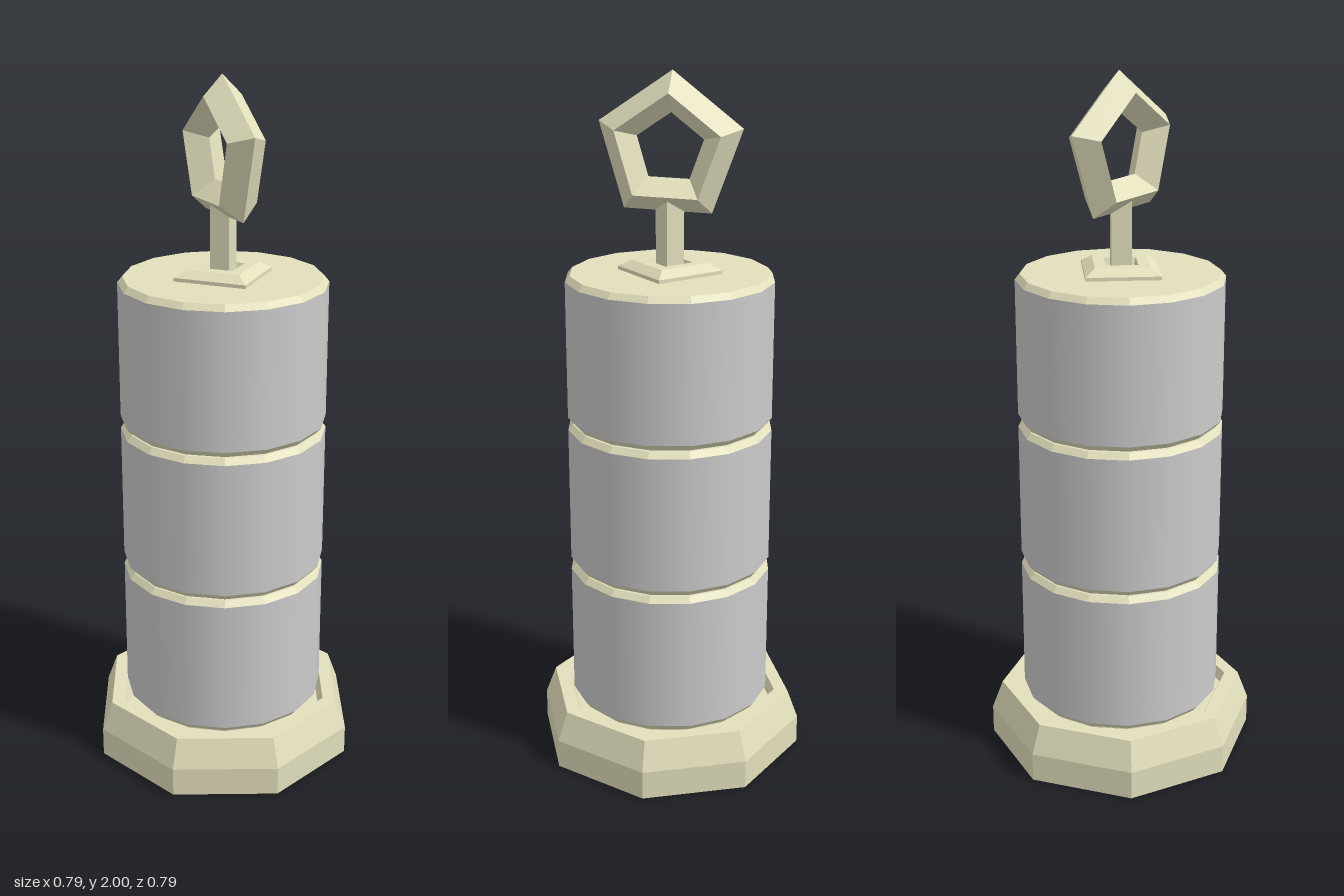
import * as THREE from 'three';

const cream = new THREE.MeshStandardMaterial({ color: 0xe2dfbc, flatShading: true });
const grey = new THREE.MeshStandardMaterial({ color: 0xcccccc });

// Faceted solid of revolution; profile runs from bottom to top as [radius, y]
function faceted(name, sides, profile) {
  const points = profile.map(([r, y]) => new THREE.Vector2(r, y));
  const geometry = new THREE.LatheGeometry(points, sides).toNonIndexed();
  geometry.computeVertexNormals();
  const mesh = new THREE.Mesh(geometry, cream);
  mesh.name = name;
  return mesh;
}

// One drum: smooth grey wall between chamfered cream ends
function drum(y0, y1) {
  const group = new THREE.Group();
  group.name = 'drum';
  const R = 0.295, inset = 0.281, h = 0.017;
  const wall = new THREE.Mesh(new THREE.CylinderGeometry(R, R, y1 - y0, 16, 1, true), grey);
  wall.name = 'drumWall';
  wall.position.y = (y0 + y1) / 2;
  group.add(
    wall,
    faceted('drumLowerEnd', 16, [[0, y0 - h], [inset, y0 - h], [R, y0]]),
    faceted('drumUpperEnd', 16, [[R, y1], [inset, y1 + h], [0, y1 + h]])
  );
  return group;
}

export function createModel() {
  const model = new THREE.Group();
  model.name = 'hangingWeight';

  // Octagonal foot with a shallow recess around the body
  model.add(faceted('foot', 8, [
    [0, 0], [0.395, 0], [0.395, 0.085], [0.363, 0.17],
    [0.322, 0.17], [0.308, 0.14], [0, 0.14]
  ]));

  // Three stacked drums, separated by grooves
  for (const [y0, y1] of [[0.178, 0.57], [0.608, 1.002], [1.04, 1.434]]) {
    model.add(drum(y0, y1));
  }

  // Core joining the drums inside the grooves
  model.add(faceted('core', 16, [[0.268, 0.15], [0.268, 1.43]]));

  // Square mounting plate with a recess around the stem
  model.add(faceted('mountingPlate', 4, [
    [0.148, 1.45], [0.148, 1.461], [0.108, 1.48],
    [0.064, 1.48], [0.056, 1.462], [0, 1.462]
  ]));

  // Square stem
  model.add(faceted('stem', 4, [[0.04, 1.455], [0.04, 1.655], [0, 1.655]]));

  // Five-sided lifting ring with a diamond section
  const ringGeometry = new THREE.TorusGeometry(0.153, 0.056, 4, 5)
    .rotateZ(Math.PI / 2)
    .rotateY(Math.PI / 2)
    .rotateX(-0.035)
    .rotateY(0.02)
    .toNonIndexed();
  ringGeometry.computeVertexNormals();
  const ring = new THREE.Mesh(ringGeometry, cream);
  ring.name = 'liftingRing';
  ring.position.y = 1.791;
  model.add(ring);

  return model;
}
